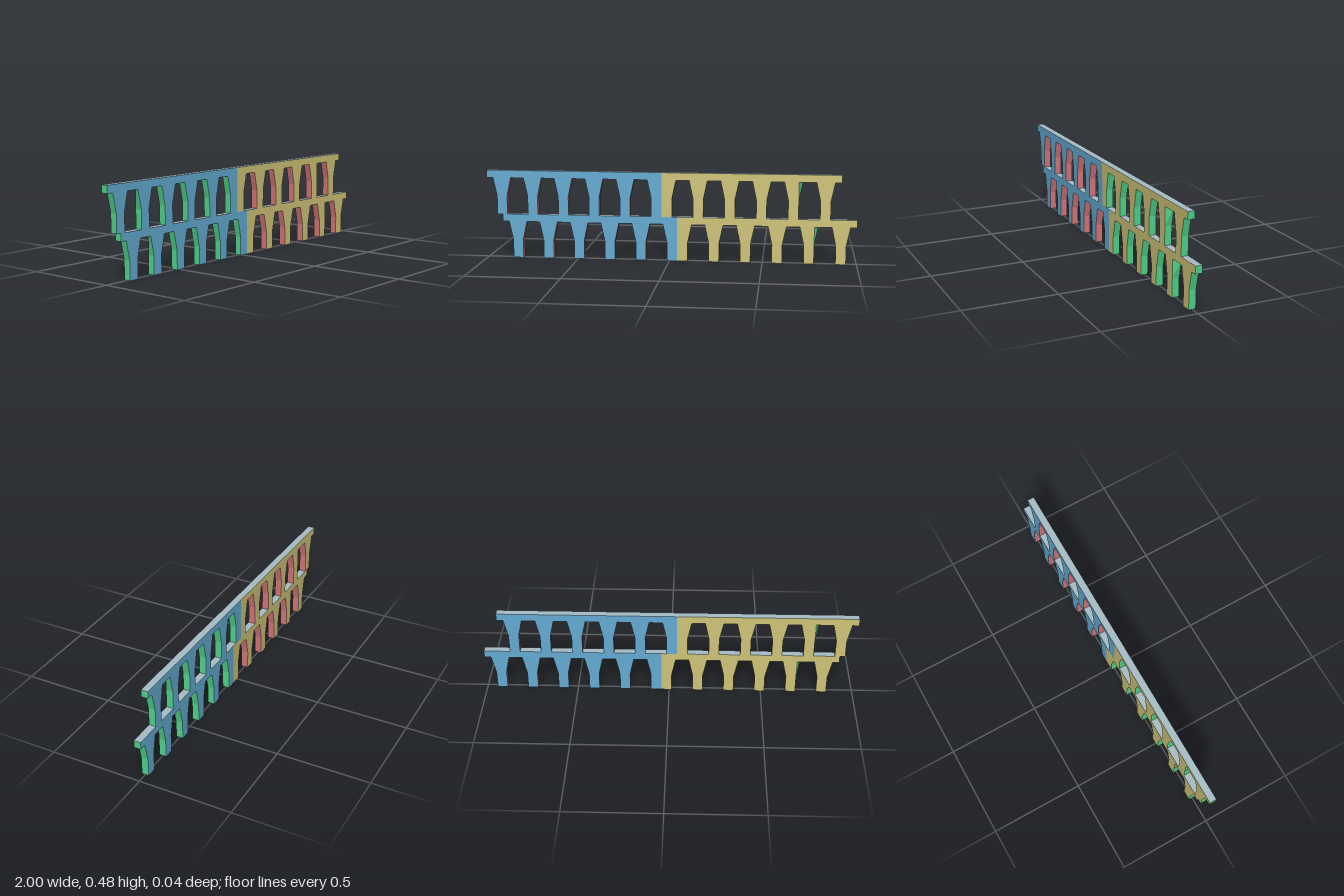
import * as THREE from 'three';
import { mergeGeometries } from 'three/addons/utils/BufferGeometryUtils.js';

const DEPTH = 0.038;        // thickness in z
const HALF_LENGTH = 0.9575; // length of one half of a tier
const STEP = 0.169;         // pillar spacing
const FIRST = 0.0285;       // centre of the pillar beside the seam
const FOOT = 0.0275;        // pillar half width at its foot
const HEAD = 0.049;         // pillar half width under the beam

const paint = (name, color) => {
  const m = new THREE.MeshStandardMaterial({ color });
  m.name = name;
  return m;
};

// One colour per facing direction of a half: +x, -x, +y, -y, +z, -z
const createMaterials = () => [
  paint('red', 0xd07478), paint('green', 0x4fd28a),
  paint('pale grey blue', 0xa6bdc5), paint('charcoal', 0x343b44),
  paint('blue', 0x64abd2), paint('straw yellow', 0xcfc478),
];

// Flat slab from an outline in x and y
function slab(points) {
  const shape = new THREE.Shape(points.map(([x, y]) => new THREE.Vector2(x, y)));
  const g = new THREE.ExtrudeGeometry(shape, { depth: DEPTH, bevelEnabled: false });
  return g.translate(0, 0, -DEPTH / 2);
}

// Pillar: straight foot, flared head
function pillarGeometry(k) {
  const c = -(FIRST + STEP * k);
  const right = (w) => (k === 0 ? 0 : c + w); // the first one ends at the seam
  const g = slab([
    [c - FOOT, 0], [right(FOOT), 0], [right(FOOT), 0.1],
    [right(HEAD), 0.2], [c - HEAD, 0.2], [c - FOOT, 0.1],
  ]);
  // The fifth pillar has no flare on its outer rear corner
  if (k === 4) {
    const p = g.attributes.position;
    for (let i = 0; i < p.count; i++) {
      if (p.getZ(i) < 0 && p.getY(i) > 0.19 && p.getX(i) < c) p.setX(i, c - FOOT);
    }
  }
  return g;
}

// Sort triangles into material groups by the main axis of their normal
function groupByDirection(source) {
  const p = source.attributes.position;
  const buckets = [[], [], [], [], [], []];
  const tri = new THREE.Triangle();
  const n = new THREE.Vector3();
  for (let i = 0; i < p.count; i += 3) {
    tri.setFromAttributeAndIndices(p, i, i + 1, i + 2);
    tri.getNormal(n);
    const v = n.toArray();
    const size = v.map(Math.abs);
    const axis = size.indexOf(Math.max(...size));
    const bucket = buckets[axis * 2 + (v[axis] < 0 ? 1 : 0)];
    for (const q of [tri.a, tri.b, tri.c]) bucket.push(q.x, q.y, q.z);
  }
  const g = new THREE.BufferGeometry();
  g.setAttribute('position', new THREE.Float32BufferAttribute(buckets.flat(), 3));
  let start = 0;
  buckets.forEach((b, i) => {
    if (b.length) g.addGroup(start, b.length / 3, i);
    start += b.length / 3;
  });
  g.computeVertexNormals();
  return g;
}

export function createModel() {
  const model = new THREE.Group();
  model.name = 'arcade';
  const materials = createMaterials();

  const pillars = groupByDirection(
    mergeGeometries([0, 1, 2, 3, 4, 5].map(pillarGeometry)));
  const beam = groupByDirection(
    slab([[-HALF_LENGTH, 0.2], [0, 0.2], [0, 0.24], [-HALF_LENGTH, 0.24]]));

  // Two offset tiers, each made of a half and the same half turned about
  for (const [name, x, y] of [['lowerTier', 0.0425, 0], ['upperTier', -0.0425, 0.24]]) {
    const tier = new THREE.Group();
    tier.name = name;
    tier.position.set(x, y, 0);
    for (const [side, turn] of [['right', 0], ['left', Math.PI]]) {
      const half = new THREE.Group();
      half.name = side + 'Half';
      half.rotation.y = turn;
      for (const [part, geometry] of [['pillars', pillars], ['beam', beam]]) {
        const mesh = new THREE.Mesh(geometry, materials);
        mesh.name = part;
        half.add(mesh);
      }
      tier.add(half);
    }
    model.add(tier);
  }
  return model;
}
